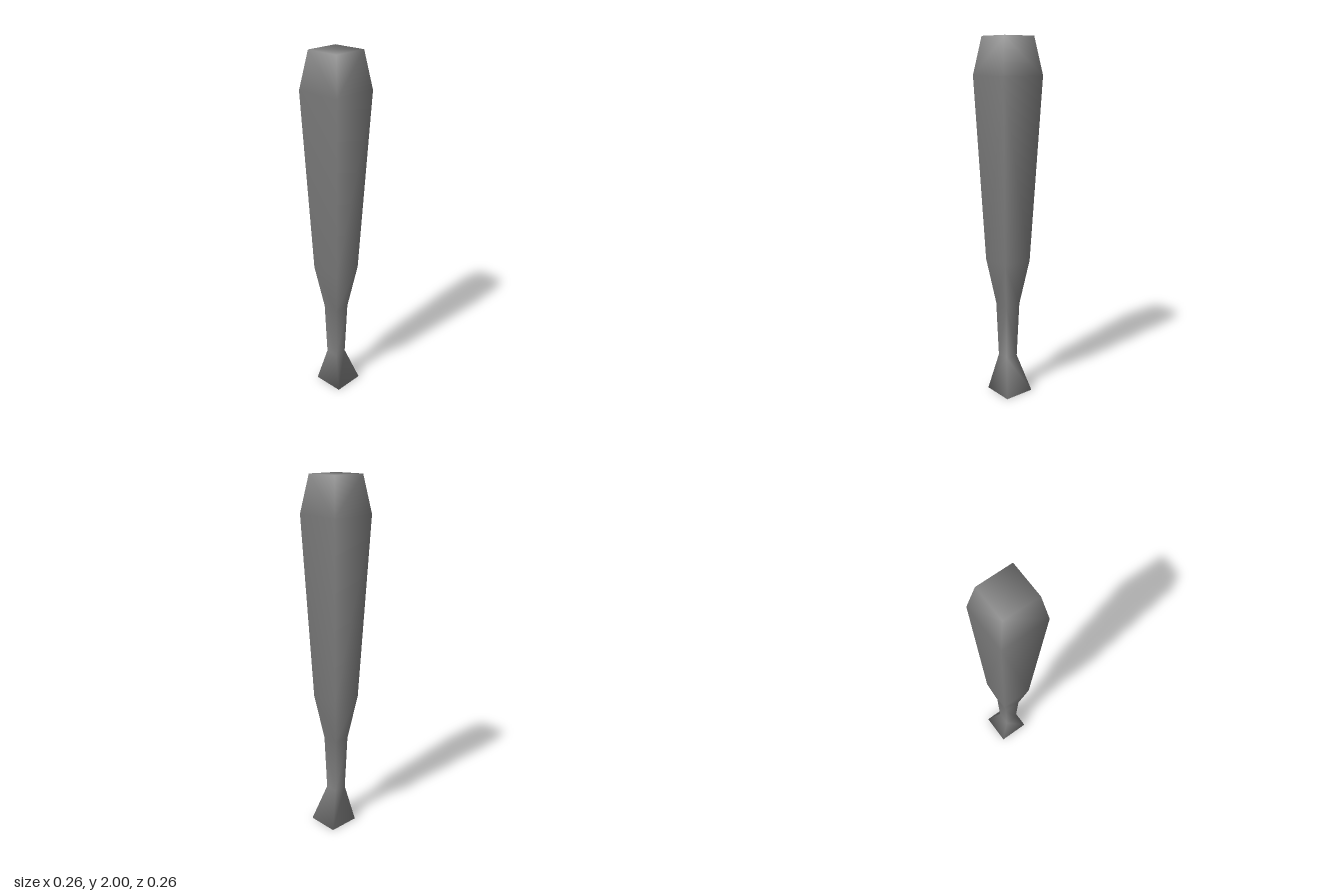
import * as THREE from 'three';

// Square cross-sections from the knob to the tip: [height, half width, z offset]
const SECTIONS = [
  [0, 0.09, -0.019],
  [0.21, 0.037, 0],
  [0.53, 0.047, 0],
  [0.79, 0.087, 0],
  [1.8, 0.131, 0],
  [2, 0.097, 0],
];
const CORNERS = [[1, 1], [1, -1], [-1, -1], [-1, 1]];

// Joins the square sections into one closed, smooth-shaded skin
function loftSquares(sections) {
  const positions = [];
  const indices = [];
  for (const [y, half, z] of sections) {
    for (const [cx, cz] of CORNERS) positions.push(cx * half, y, cz * half + z);
  }
  for (let i = 0; i < sections.length - 1; i++) {
    for (let j = 0; j < 4; j++) {
      const a = i * 4 + j;
      const b = i * 4 + (j + 1) % 4;
      // Neighbouring sides mirror their diagonals, so the shading is even
      if (j % 2 === 0) indices.push(a, b, b + 4, a, b + 4, a + 4);
      else indices.push(a, b, a + 4, b, b + 4, a + 4);
    }
  }
  // End caps
  const t = (sections.length - 1) * 4;
  indices.push(0, 2, 1, 0, 3, 2, t + 1, t + 2, t + 3, t + 1, t + 3, t);

  const geometry = new THREE.BufferGeometry();
  geometry.setAttribute('position', new THREE.Float32BufferAttribute(positions, 3));
  geometry.setIndex(indices);
  geometry.computeVertexNormals();
  return geometry;
}

export function createModel() {
  const group = new THREE.Group();
  group.name = 'club';

  // Flared knob, slim grip and widening barrel in one piece
  const body = new THREE.Mesh(
    loftSquares(SECTIONS),
    new THREE.MeshStandardMaterial({ color: 0x868686 }),
  );
  body.name = 'clubBody';
  group.add(body);
  return group;
}
